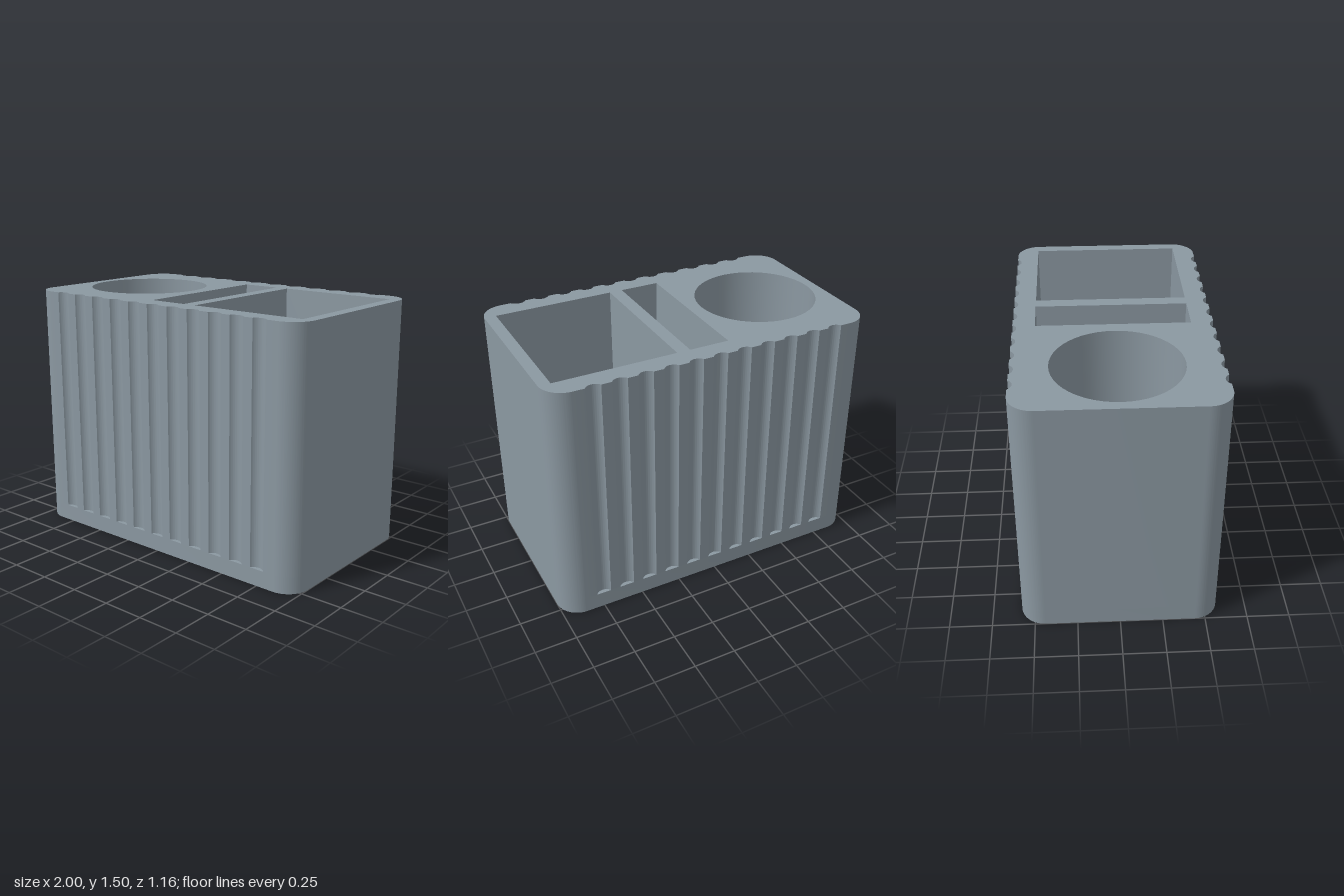
import * as THREE from 'three';
import { toCreasedNormals } from 'three/addons/utils/BufferGeometryUtils.js';

const W = 1, D = 0.58, R = 0.14;          // half width, half depth, corner radius
const FLOOR = 0.1, TOP = 1.5;             // floor of pockets and grooves, rim
const GROOVES = 11, PITCH = 0.15, HALF = 0.045, DEPTH = 0.025;
const ARC = (HALF * HALF + DEPTH * DEPTH) / (2 * DEPTH);
const RISE = ARC - DEPTH;                 // groove axis lies outside the face
const EDGE = Math.atan2(RISE, HALF);

// Rounded rectangle, optionally with scalloped front and back
function outline(grooved) {
  const s = new THREE.Shape();
  const scallops = (sign) => {
    if (!grooved) return;
    for (let i = 0; i < GROOVES; i++) {
      const x = -sign * (i - (GROOVES - 1) / 2) * PITCH;
      const turn = sign > 0 ? 0 : Math.PI;
      s.absarc(x, sign * (D + RISE), ARC, turn - EDGE, turn + EDGE - Math.PI, true);
    }
  };
  s.absarc(W - R, D - R, R, 0, Math.PI / 2, false);
  scallops(1);
  s.absarc(-W + R, D - R, R, Math.PI / 2, Math.PI, false);
  s.absarc(-W + R, -D + R, R, Math.PI, Math.PI * 1.5, false);
  scallops(-1);
  s.absarc(W - R, -D + R, R, Math.PI * 1.5, Math.PI * 2, false);
  s.closePath();
  return s;
}

function rectangle(x0, x1, z) {
  return new THREE.Shape([[x0, -z], [x1, -z], [x1, z], [x0, z]].map(p => new THREE.Vector2(...p)));
}

// Upright prism without the cap that faces the given way (1 up, -1 down)
function prism(shape, y0, y1, openSide) {
  const g = new THREE.ExtrudeGeometry(shape, { depth: y1 - y0, bevelEnabled: false, curveSegments: 24 });
  g.rotateX(-Math.PI / 2).translate(0, y0, 0);
  const p = g.attributes.position, n = g.attributes.normal, kept = [];
  for (let i = 0; i < p.count; i += 3) {
    if (n.getY(i) * openSide > 0.9) continue;
    for (let k = i; k < i + 3; k++) kept.push(p.getX(k), p.getY(k), p.getZ(k));
  }
  const out = new THREE.BufferGeometry();
  out.setAttribute('position', new THREE.Float32BufferAttribute(kept, 3));
  return toCreasedNormals(out, 0.6);
}

export function createModel() {
  const group = new THREE.Group();
  const material = new THREE.MeshStandardMaterial({ color: 0x8b98a1 });
  material.name = 'slate grey';
  const add = (name, geometry) => {
    const mesh = new THREE.Mesh(geometry, material);
    mesh.name = name;
    group.add(mesh);
    return mesh;
  };

  // Pockets
  const cup = new THREE.Shape();
  cup.absarc(-0.57, 0, 0.37, 0, Math.PI * 2, false);
  const pockets = {
    roundPocket: cup,
    slotPocket: rectangle(-0.12, 0.12, 0.45),
    widePocket: rectangle(0.2, 0.93, 0.45),
  };

  // Body walls with grooves and pocket openings, on a plain base
  const body = outline(true);
  body.holes.push(...Object.values(pockets));
  add('body', prism(body, FLOOR, TOP, -1));
  add('base', prism(outline(false), 0, FLOOR, 1));

  // Pocket floors
  const flat = (shape) => new THREE.ShapeGeometry(shape, 24).rotateX(-Math.PI / 2).translate(0, FLOOR, 0);
  for (const [name, shape] of Object.entries(pockets)) add(name + 'Floor', flat(shape));

  // Ledges at the foot of the grooves
  const segment = new THREE.Shape();
  segment.absarc(0, D + RISE, ARC, -EDGE, EDGE - Math.PI, true);
  segment.closePath();
  const ledge = flat(segment);
  for (let i = 0; i < GROOVES; i++) {
    for (const turn of [0, Math.PI]) {
      const mesh = add('grooveLedge', ledge);
      mesh.position.x = (i - (GROOVES - 1) / 2) * PITCH;
      mesh.rotation.y = turn;
    }
  }
  return group;
}
